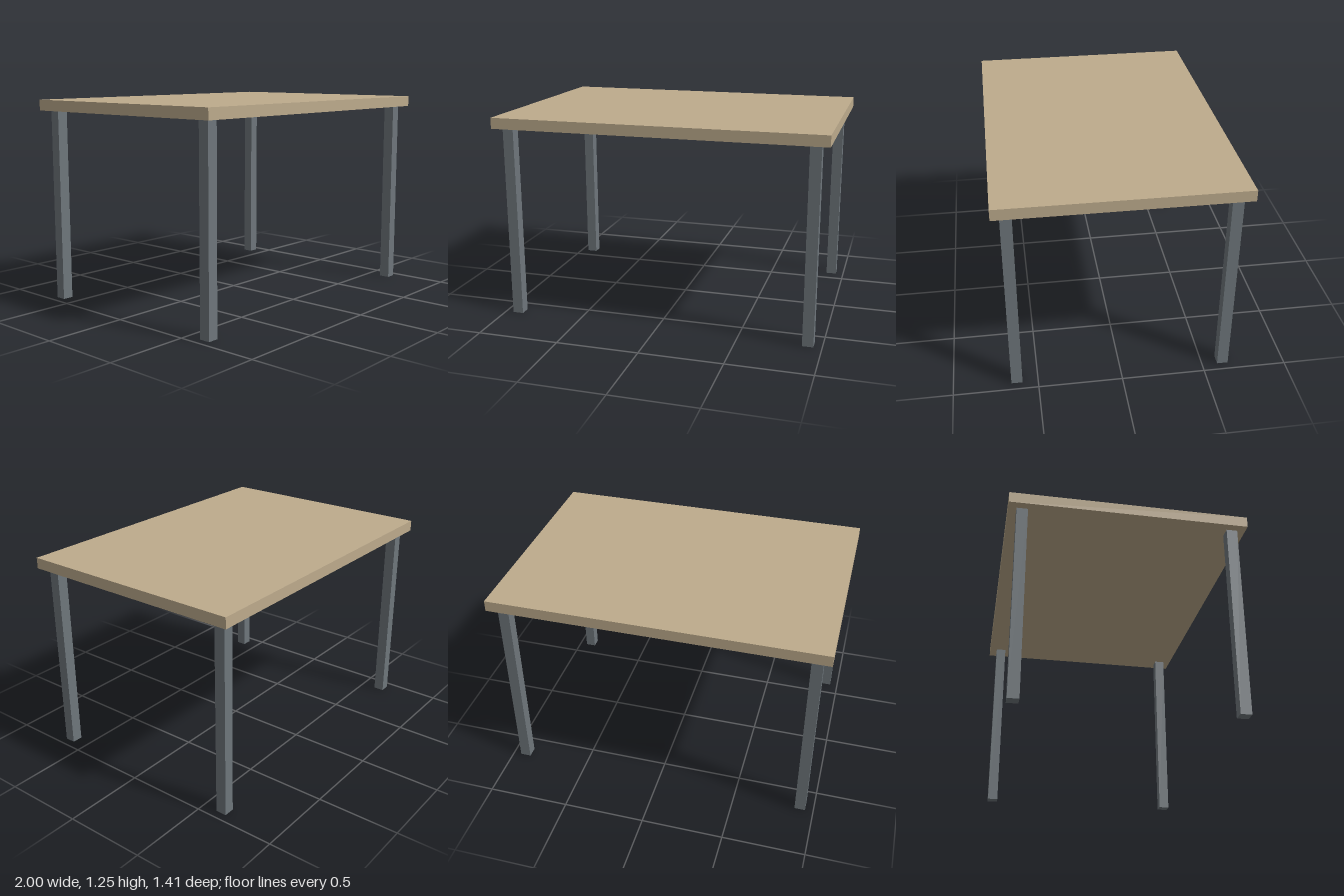
import * as THREE from 'three';

export function createModel() {
  const wood = new THREE.MeshStandardMaterial({ color: 0xbdab8c });
  wood.name = 'lightWood';
  const metal = new THREE.MeshStandardMaterial({ color: 0x6e767b });
  metal.name = 'greyMetal';

  const table = new THREE.Group();
  table.name = 'table';
  const legHeight = 1.186, topThickness = 0.066, legWidth = 0.066;

  // Table top
  const top = new THREE.Mesh(new THREE.BoxGeometry(2, topThickness, 1.415), wood);
  top.name = 'tableTop';
  top.position.y = legHeight + topThickness / 2;
  table.add(top);

  // Four square legs, set in from the corners
  const legGeometry = new THREE.BoxGeometry(legWidth, legHeight, legWidth);
  for (const [side, x] of [['Left', 1], ['Right', -1]]) {
    for (const [end, z] of [['front', 1], ['back', -1]]) {
      const leg = new THREE.Mesh(legGeometry, metal);
      leg.name = `${end}${side}Leg`;
      leg.position.set(x * 0.917, legHeight / 2, z * 0.626);
      table.add(leg);
    }
  }
  return table;
}
